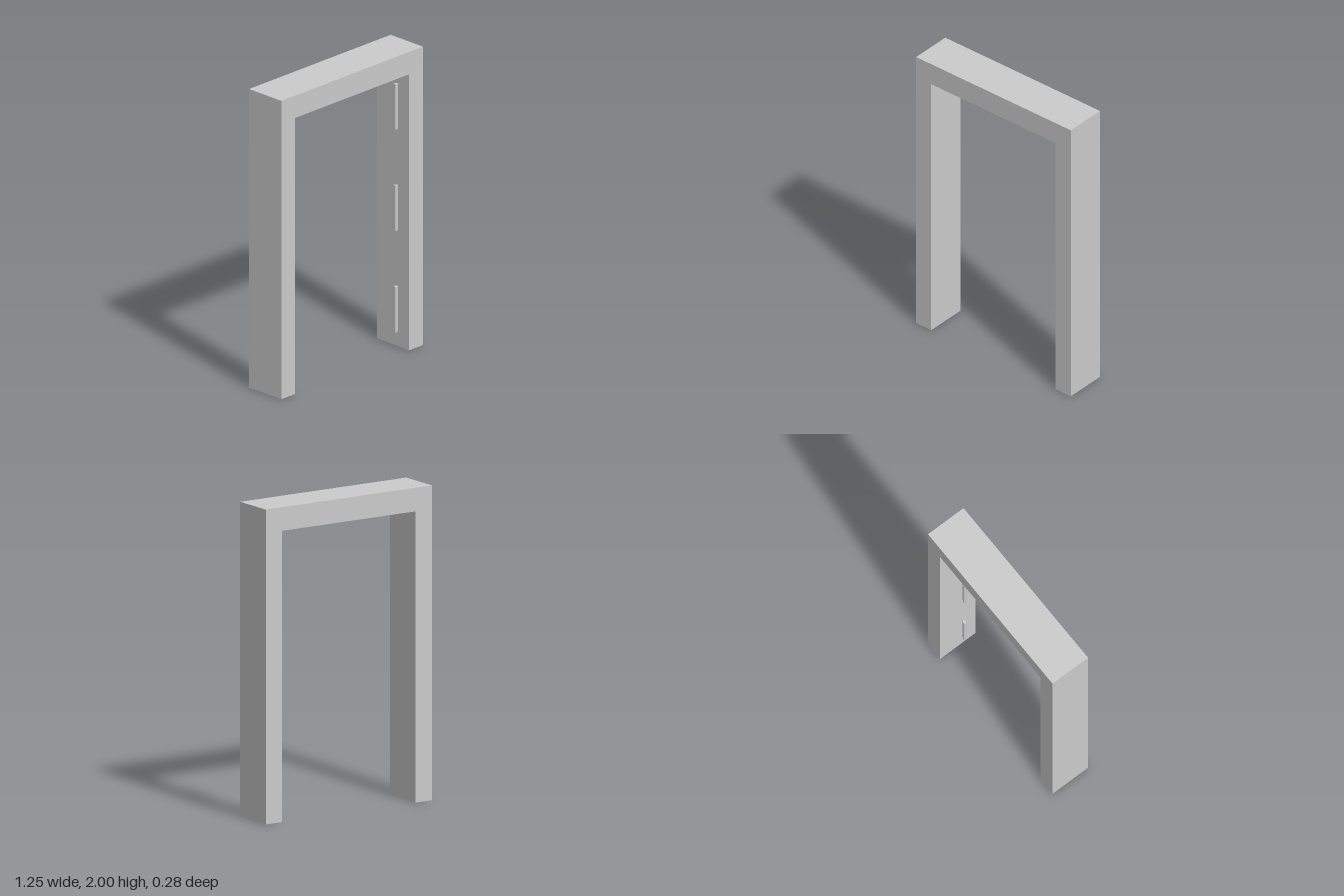
import * as THREE from 'three';

export function createModel() {
  const model = new THREE.Group();
  const material = new THREE.MeshStandardMaterial({ color: 0xcccccc });
  const outer = 0.627, inner = 0.505, top = 2, underside = 1.85, depth = 0.28;

  const add = (parent, name, geometry, x, y, z) => {
    const mesh = new THREE.Mesh(geometry, material);
    mesh.name = name;
    mesh.position.set(x, y, z);
    parent.add(mesh);
  };

  // Door frame: two jambs and a lintel in one continuous outline
  const outline = new THREE.Shape([
    [-outer, 0], [-inner, 0], [-inner, underside], [inner, underside],
    [inner, 0], [outer, 0], [outer, top], [-outer, top],
  ].map(([x, y]) => new THREE.Vector2(x, y)));
  add(model, 'doorFrame',
    new THREE.ExtrudeGeometry(outline, { depth, bevelEnabled: false }), 0, 0, -depth / 2);

  // Three hinges on the inside of the left jamb
  const hingeHeight = 0.305, hingeZ = 0.04;
  [0.253, 0.932, 1.612].forEach((y) => {
    const hinge = new THREE.Group();
    hinge.name = 'hinge';
    hinge.position.set(0, y, hingeZ);
    // Knuckle, with a narrow leaf tying it to the jamb
    add(hinge, 'hingeKnuckle', new THREE.CylinderGeometry(0.011, 0.011, hingeHeight, 24), 0.488, 0, 0);
    add(hinge, 'hingeLeaf', new THREE.BoxGeometry(0.015, hingeHeight - 0.004, 0.008), 0.499, 0, 0);
    model.add(hinge);
  });

  return model;
}
